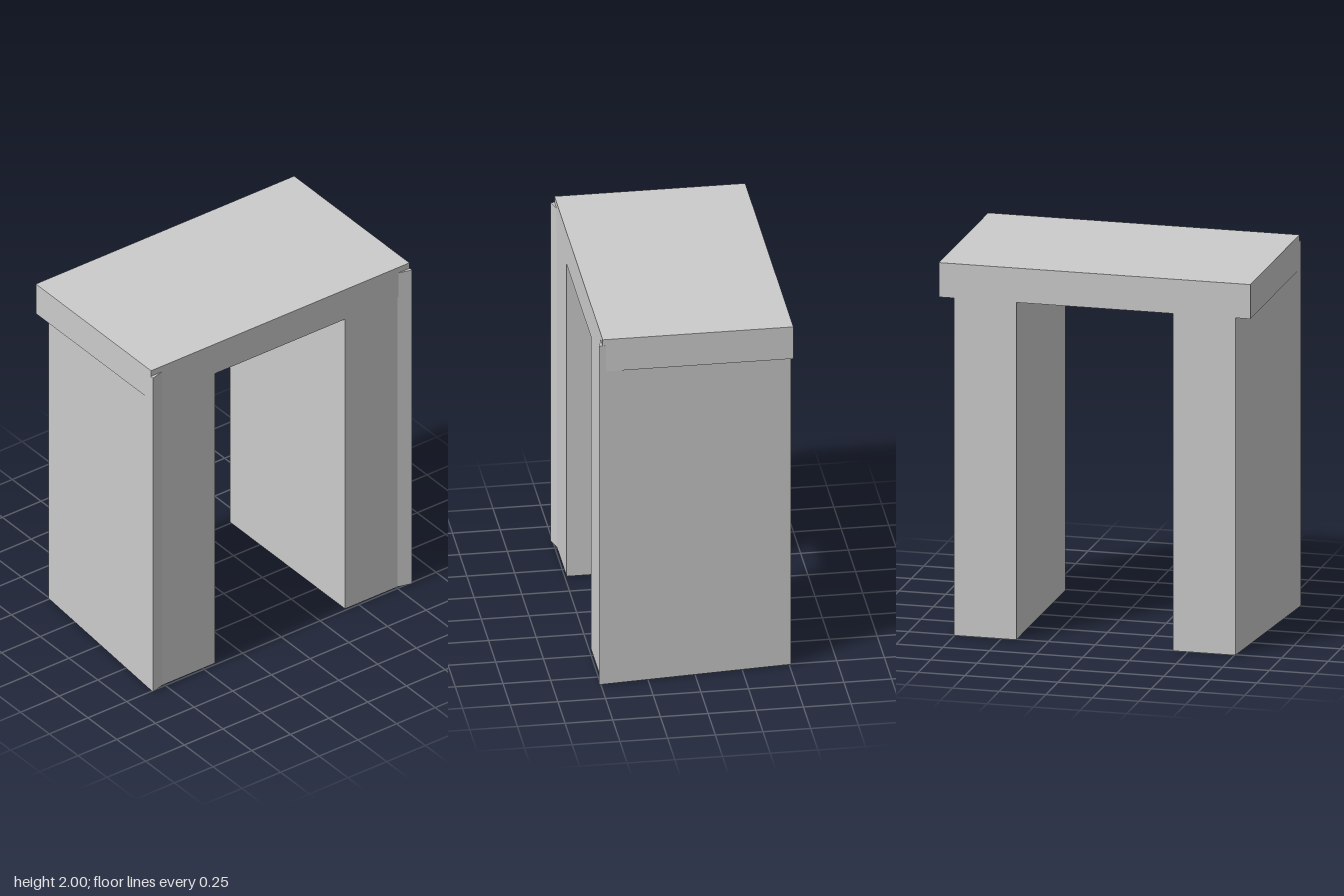
import * as THREE from 'three';

const material = new THREE.MeshStandardMaterial({ color: 0xcccccc, flatShading: true });

// Leg footprint as [x, z]: tapers toward the back, with a small lip at the front outer corner
const footprint = [
  [0.42, -0.509], [0.755, -0.509], [0.838, 0.51], [0.76, 0.489], [0.42, 0.489],
];

function createLeg(side) {
  const shape = new THREE.Shape(footprint.map(([x, z]) => new THREE.Vector2(side * x, -z)));
  const geometry = new THREE.ExtrudeGeometry(shape, { depth: 1.965, bevelEnabled: false });
  geometry.rotateX(-Math.PI / 2);
  const leg = new THREE.Mesh(geometry, material);
  leg.name = side > 0 ? 'leftLeg' : 'rightLeg';
  return leg;
}

export function createModel() {
  const model = new THREE.Group();
  model.name = 'archway';

  // Flat slab across the two legs
  const slab = new THREE.Mesh(new THREE.BoxGeometry(1.67, 0.185, 1), material);
  slab.name = 'topSlab';
  slab.position.set(0, 1.9075, -0.01);
  model.add(slab);

  // Mirrored pair of legs
  for (const side of [1, -1]) model.add(createLeg(side));

  return model;
}
